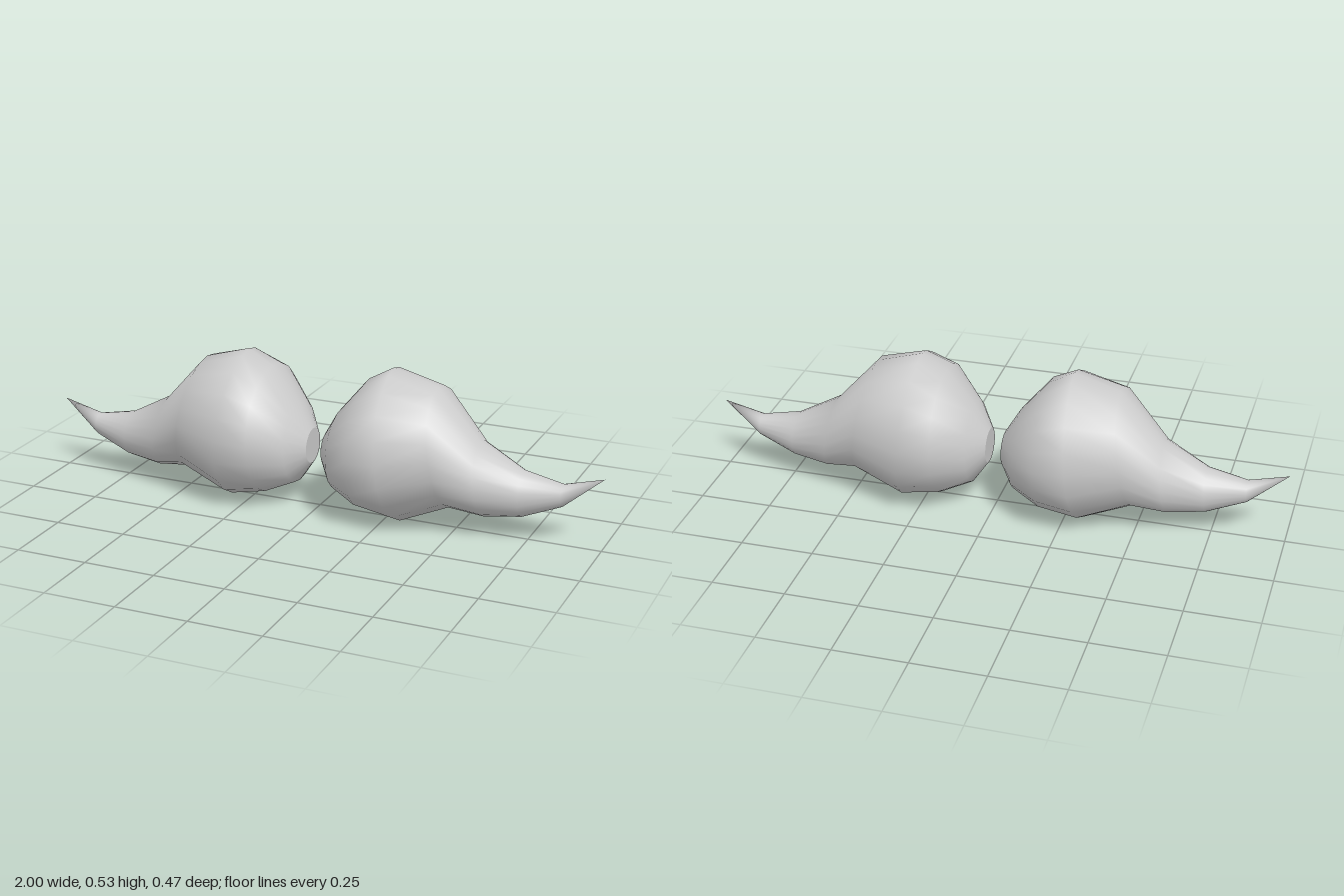
import * as THREE from 'three';

const SIDES = 20;
// Rings from the inner end outwards: top x, top y, bottom x, bottom y, half depth, pinch of top and bottom
const RINGS = [
  [0.027, 0.28, 0.027, 0.157, 0.061, 0],
  [0.08, 0.37, 0.075, 0.085, 0.14, 0],
  [0.177, 0.487, 0.177, 0.04, 0.225, 0],
  [0.265, 0.537, 0.315, 0.003, 0.235, 0.4],
  [0.425, 0.49, 0.49, 0.085, 0.182, 0],
  [0.575, 0.323, 0.605, 0.068, 0.115, 0],
  [0.725, 0.242, 0.732, 0.085, 0.071, 0],
  [0.862, 0.216, 0.865, 0.14, 0.036, 0],
];
const TIP = [1, 0.255, 0];

function ringPoints([tx, ty, bx, by, depth, pinch], side) {
  const points = [];
  for (let j = 0; j < SIDES; j++) {
    const a = (j / SIDES) * Math.PI * 2;
    const c = Math.cos(a);
    points.push([
      side * ((tx + bx) / 2 + (c * (tx - bx)) / 2),
      (ty + by) / 2 + (c * (ty - by)) / 2,
      depth * Math.sin(a) * (1 - pinch * c ** 6),
    ]);
  }
  return points;
}

function buildGeometry(points, faces, side) {
  const geometry = new THREE.BufferGeometry();
  geometry.setAttribute('position', new THREE.Float32BufferAttribute(points.flat(), 3));
  // Mirrored half needs the opposite corner order
  geometry.setIndex(faces.flatMap(([a, b, c]) => (side > 0 ? [a, b, c] : [a, c, b])));
  geometry.computeVertexNormals();
  return geometry;
}

// Smooth lobe tapering into the upturned tip
function lobeGeometry(side) {
  const points = RINGS.flatMap((ring) => ringPoints(ring, side));
  const tip = points.length;
  points.push([side * TIP[0], TIP[1], TIP[2]]);
  const faces = [];
  RINGS.forEach((_, i) => {
    for (let j = 0; j < SIDES; j++) {
      const k = (j + 1) % SIDES;
      const a = i * SIDES + j;
      const b = i * SIDES + k;
      if (i === RINGS.length - 1) faces.push([a, b, tip]);
      else faces.push([a, b, a + SIDES], [b, b + SIDES, a + SIDES]);
    }
  });
  return buildGeometry(points, faces, side);
}

// Flat disc closing the inner end
function endGeometry(side) {
  const points = ringPoints(RINGS[0], side);
  const [tx, ty, , by] = RINGS[0];
  points.push([side * tx, (ty + by) / 2, 0]);
  const faces = [];
  for (let j = 0; j < SIDES; j++) faces.push([SIDES, (j + 1) % SIDES, j]);
  return buildGeometry(points, faces, side);
}

export function createModel() {
  const model = new THREE.Group();
  model.name = 'moustache';
  const material = new THREE.MeshStandardMaterial({ color: 0xcccccc });

  for (const [label, side] of [['left', 1], ['right', -1]]) {
    const half = new THREE.Group();
    half.name = label + 'Half';
    const lobe = new THREE.Mesh(lobeGeometry(side), material);
    lobe.name = label + 'Lobe';
    const end = new THREE.Mesh(endGeometry(side), material);
    end.name = label + 'InnerEnd';
    half.add(lobe, end);
    model.add(half);
  }
  return model;
}
